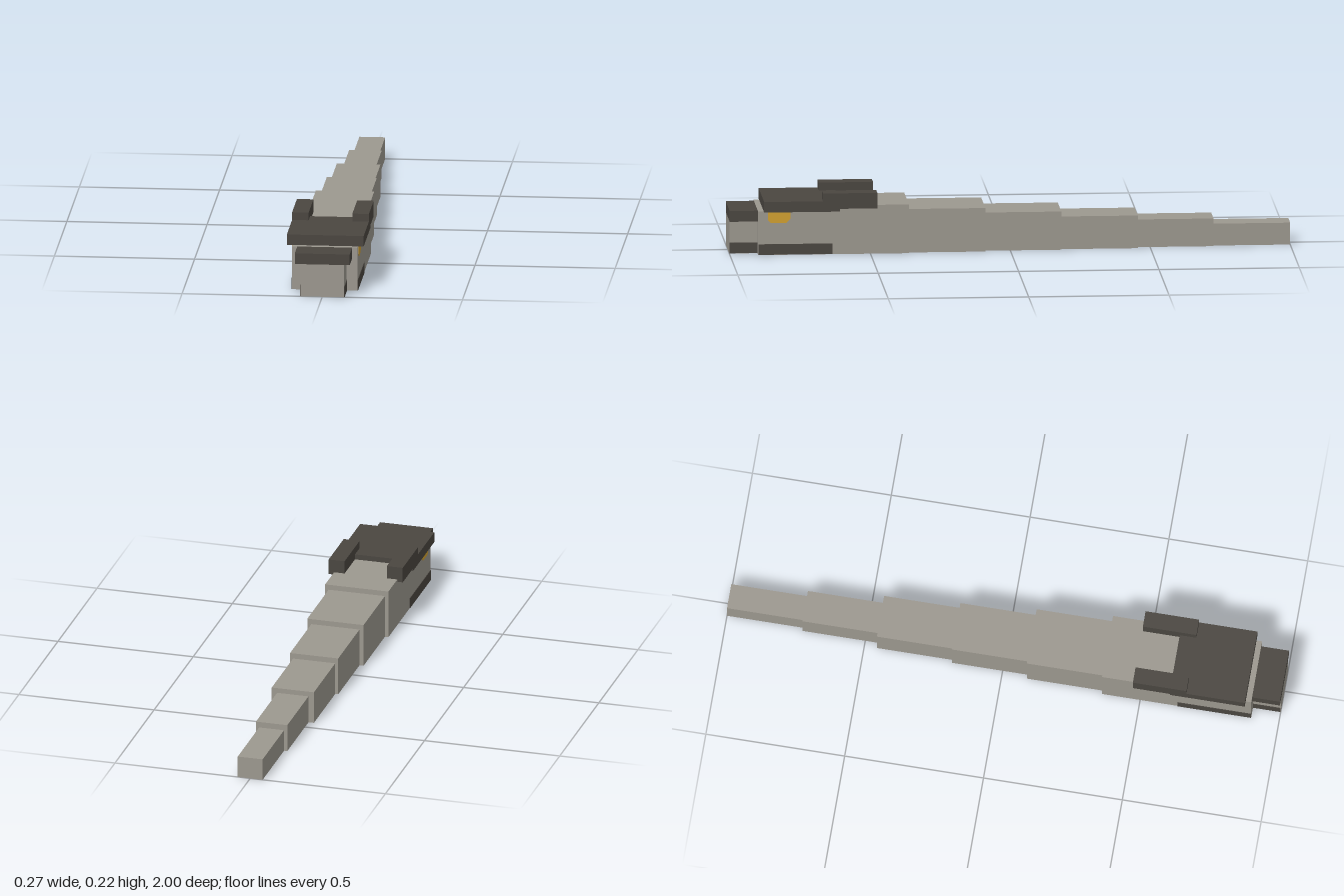
import * as THREE from 'three';

export function createModel() {
  const model = new THREE.Group();
  const mat = (name, color) => {
    const m = new THREE.MeshStandardMaterial({ color });
    m.name = name;
    return m;
  };
  const hide = mat('stone grey hide', 0x9c988f);
  const scute = mat('dark scute', 0x4a4640);
  const amber = mat('amber eye', 0xd0a030);

  // Box given by its minimum and maximum along each axis
  const box = (name, material, x0, x1, y0, y1, z0, z1) => {
    const mesh = new THREE.Mesh(new THREE.BoxGeometry(x1 - x0, y1 - y0, z1 - z0), material);
    mesh.position.set((x0 + x1) / 2, (y0 + y1) / 2, (z0 + z1) / 2);
    mesh.name = name;
    model.add(mesh);
    return mesh;
  };

  // Head, snout and their top plates
  box('snout', hide, -0.078, 0.078, 0, 0.118, 0.9, 1);
  box('snoutPlate', scute, -0.098, 0.098, 0.118, 0.157, 0.9, 1);
  box('head', hide, -0.117, 0.117, 0, 0.157, 0.61, 0.9);
  box('browPlate', scute, -0.137, 0.137, 0.157, 0.195, 0.61, 0.88);

  // Body and tail: [half width, height, back z], each shrinking toward the tip
  let front = 0.61;
  [
    [0.117, 0.176, 0.363],
    [0.104, 0.157, 0.09],
    [0.089, 0.138, -0.182],
    [0.078, 0.118, -0.455],
    [0.058, 0.1, -0.726],
    [0.046, 0.079, -1],
  ].forEach(([w, h, back], i) => {
    box(`bodySegment${i + 1}`, hide, -w, w, 0, h, back, front);
    front = back;
  });

  // Eye outline, wider at the top: u runs along z
  const eyeShape = new THREE.Shape([
    [0.785, 0.156], [0.785, 0.13], [0.8, 0.116], [0.855, 0.116], [0.865, 0.125], [0.865, 0.156],
  ].map(([z, y]) => new THREE.Vector2(-z, y)));
  const eyeGeometry = new THREE.ExtrudeGeometry(eyeShape, { depth: 0.002, bevelEnabled: false });
  eyeGeometry.rotateY(Math.PI / 2);

  // Mirrored horns, jaw stripes and eyes
  for (const [side, s] of [['left', 1], ['right', -1]]) {
    const pair = (name, material, a, b, ...rest) =>
      box(side + name, material, Math.min(s * a, s * b), Math.max(s * a, s * b), ...rest);
    pair('Horn', scute, 0.078, 0.137, 0.167, 0.223, 0.477, 0.67);
    pair('JawStripe', scute, 0.116, 0.119, 0.001, 0.039, 0.635, 0.899);
    pair('SnoutStripe', scute, 0.077, 0.08, 0.001, 0.039, 0.9, 0.999);
    const eye = new THREE.Mesh(eyeGeometry, amber);
    eye.name = side + 'Eye';
    eye.position.x = s > 0 ? 0.117 : -0.119;
    model.add(eye);
  }
  return model;
}
